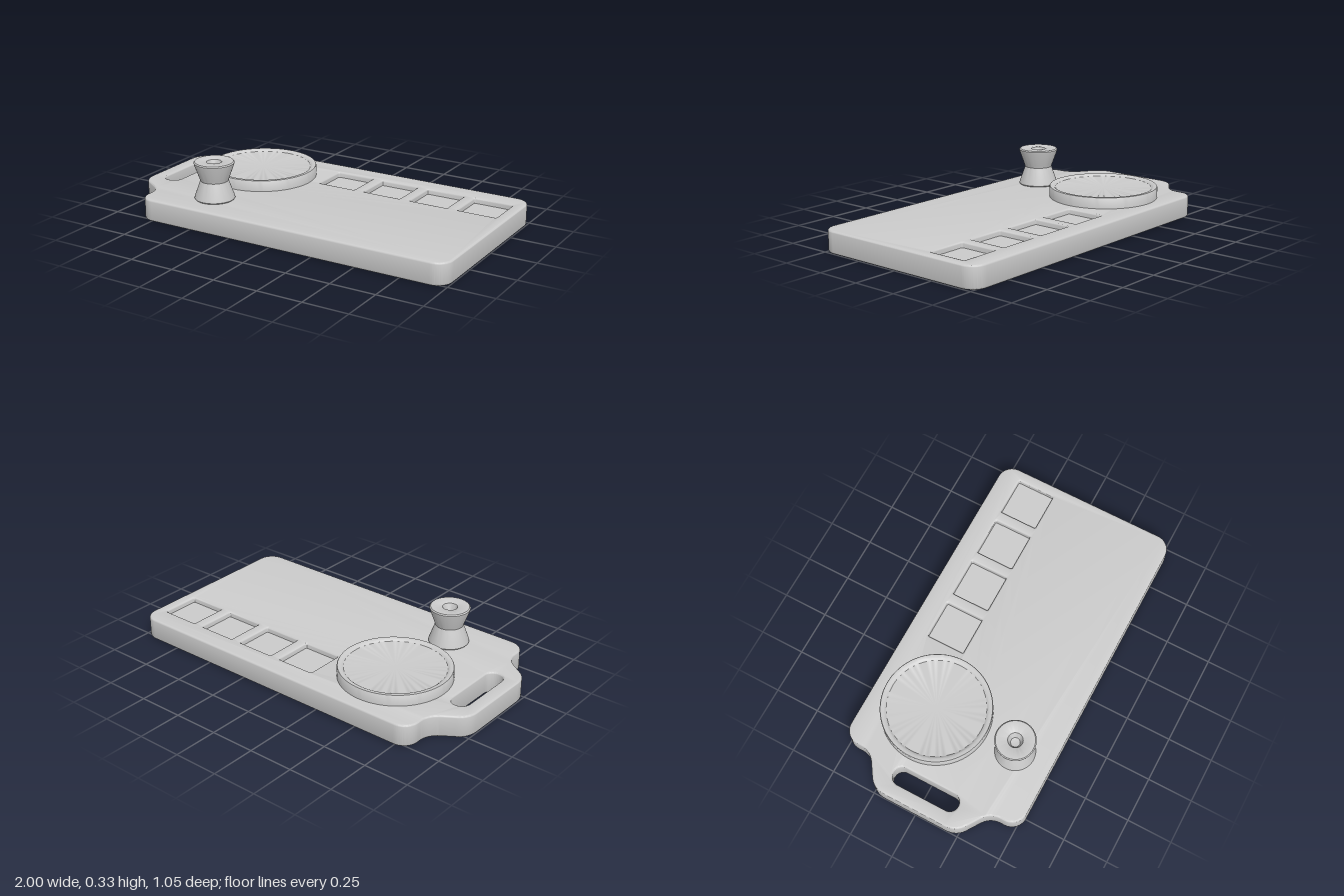
import * as THREE from 'three';
import { toCreasedNormals } from 'three/addons/utils/BufferGeometryUtils.js';

const BOARD_H = 0.12, BEVEL = 0.01, POCKET_FLOOR = 0.09;
const material = new THREE.MeshStandardMaterial({ color: 0xcccccc });

function addMesh(parent, name, geometry, x = 0, y = 0, z = 0) {
  const mesh = new THREE.Mesh(geometry, material);
  mesh.name = name;
  mesh.position.set(x, y, z);
  parent.add(mesh);
  return mesh;
}

// Rounded rectangle path given by its centre, size and corner radius
function roundedRect(cx, cy, w, h, r) {
  const p = new THREE.Path();
  const x = w / 2 - r, y = h / 2 - r;
  p.absarc(cx + x, cy + y, r, 0, Math.PI / 2);
  p.absarc(cx - x, cy + y, r, Math.PI / 2, Math.PI);
  p.absarc(cx - x, cy - y, r, Math.PI, Math.PI * 1.5);
  p.absarc(cx + x, cy - y, r, Math.PI * 1.5, Math.PI * 2);
  p.closePath();
  return p;
}

// Board outline with the narrower handle end at -x
function boardOutline() {
  const s = new THREE.Shape(), r = 0.085, q = Math.PI / 2;
  s.moveTo(1, -0.525 + r);
  s.absarc(1 - r, 0.525 - r, r, 0, q);
  s.absarc(-0.83 + r, 0.525 - r, r, q, 2 * q);
  s.lineTo(-0.83, 0.42);
  s.quadraticCurveTo(-0.83, 0.36, -0.88, 0.325);
  s.lineTo(-0.94, 0.285);
  s.quadraticCurveTo(-1, 0.25, -1, 0.18);
  s.lineTo(-1, -0.18);
  s.quadraticCurveTo(-1, -0.25, -0.94, -0.285);
  s.lineTo(-0.88, -0.325);
  s.quadraticCurveTo(-0.83, -0.36, -0.83, -0.42);
  s.lineTo(-0.83, -0.525 + r);
  s.absarc(-0.83 + r, -0.525 + r, r, 2 * q, 3 * q);
  s.absarc(1 - r, -0.525 + r, r, 3 * q, 4 * q);
  return s;
}

// Turned part from [radius, height] pairs
function turned(points, segments = 64) {
  const profile = points.map(([r, y]) => new THREE.Vector2(r, y));
  return toCreasedNormals(new THREE.LatheGeometry(profile, segments), 0.6);
}

export function createModel() {
  const model = new THREE.Group();
  model.name = 'servingBoard';

  // Board with handle slot and four square pockets
  const pocket = { w: 0.22, d: 0.217, z: -0.298 };
  const pocketXs = [0, 1, 2, 3].map(i => -0.014 + i * 0.281);
  const outline = boardOutline();
  outline.holes.push(roundedRect(-0.875, 0, 0.1, 0.385, 0.049));
  for (const x of pocketXs) outline.holes.push(roundedRect(x, -pocket.z, pocket.w, pocket.d, 0.008));
  const board = new THREE.ExtrudeGeometry(outline, {
    depth: BOARD_H - 2 * BEVEL, curveSegments: 12,
    bevelSize: BEVEL, bevelThickness: BEVEL, bevelOffset: -BEVEL, bevelSegments: 3,
  });
  board.rotateX(-Math.PI / 2).translate(0, BEVEL, 0);
  addMesh(model, 'board', toCreasedNormals(board, 0.6));

  // Pocket floors close the pockets from below
  for (const x of pocketXs) {
    const floor = new THREE.BoxGeometry(pocket.w + 0.03, POCKET_FLOOR, pocket.d + 0.03);
    addMesh(model, 'pocketFloor', floor, x, POCKET_FLOOR / 2, pocket.z);
  }

  // Round plate with a low rim
  addMesh(model, 'roundPlate', turned([
    [0, -0.01], [0.3, -0.01], [0.3, 0.055], [0.297, 0.06], [0.279, 0.06],
    [0.274, 0.057], [0.266, 0.05], [0, 0.05],
  ], 96), -0.475, BOARD_H, -0.155);

  // Waisted cup with a countersunk hole
  addMesh(model, 'waistedCup', turned([
    [0, 0], [0.104, 0], [0.109, 0.006], [0.107, 0.016], [0.081, 0.088],
    [0.076, 0.104], [0.081, 0.12], [0.107, 0.192], [0.109, 0.203], [0.103, 0.209],
    [0.046, 0.209], [0.04, 0.205], [0.025, 0.165], [0, 0.16],
  ]), -0.475, BOARD_H, 0.315);

  return model;
}
